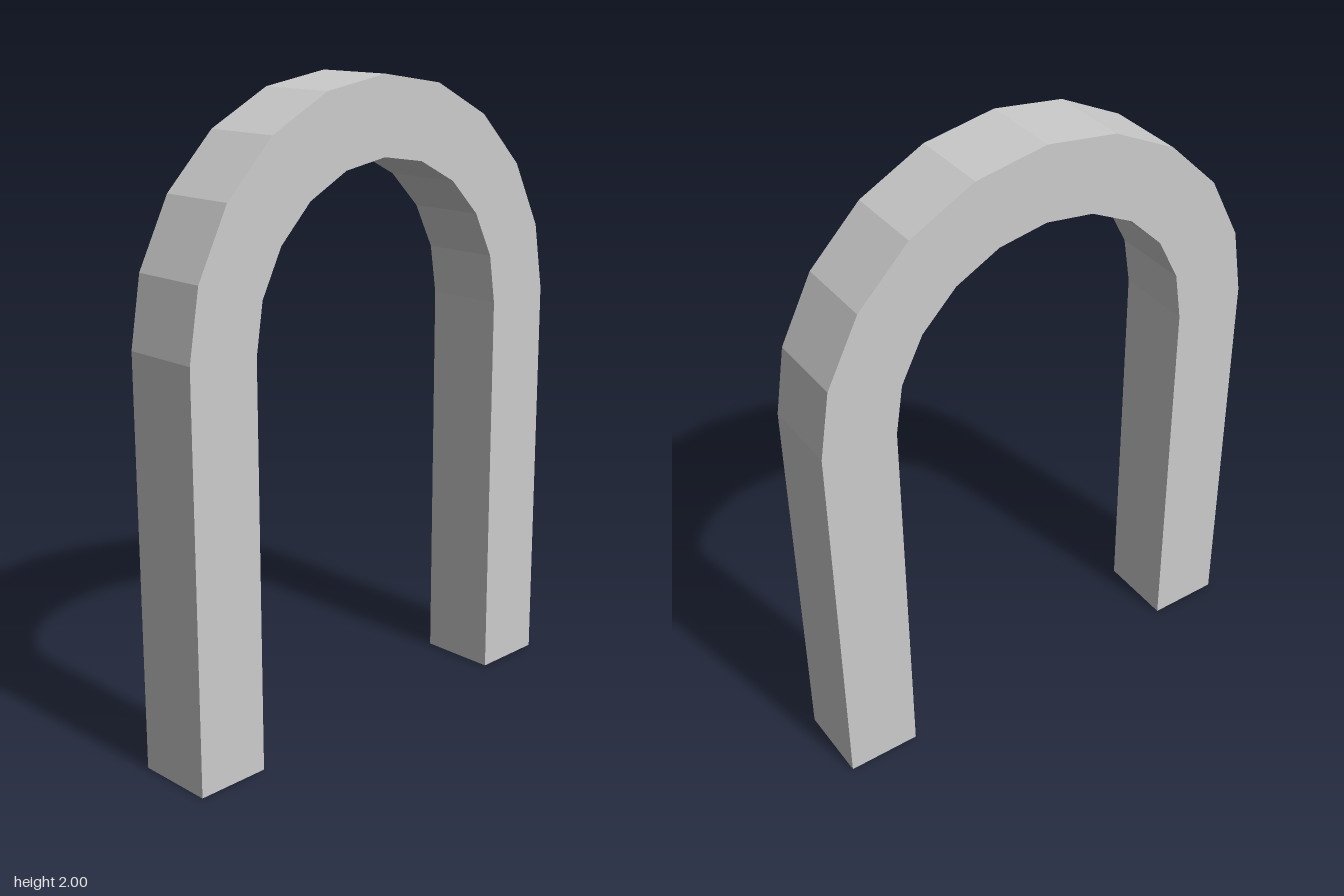
import * as THREE from 'three';

const SPRING = 1.26; // height where the legs turn into the arch
const OUTER = 0.74, INNER = 0.504;
const DEPTH = 0.252, SEGMENTS = 10;

// Points of a faceted half circle, from right (+x) over the top to left (-x)
function arc(radius, endLift = 0) {
  const points = [];
  for (let i = 0; i <= SEGMENTS; i++) {
    const a = (Math.PI * i) / SEGMENTS;
    const lift = i === 0 || i === SEGMENTS ? endLift : 0;
    points.push(new THREE.Vector2(radius * Math.cos(a), SPRING + radius * Math.sin(a) + lift));
  }
  return points;
}

export function createModel() {
  const group = new THREE.Group();
  group.name = 'archway';

  // Outline: up the outside, over the arch, down, then back along the inside
  const outline = new THREE.Shape([
    new THREE.Vector2(OUTER, 0),
    ...arc(OUTER, 0.015),
    new THREE.Vector2(-OUTER, 0),
    new THREE.Vector2(-INNER, 0),
    ...arc(INNER).reverse(),
    new THREE.Vector2(INNER, 0),
  ]);

  // Square-section bar extruded through the depth, with flat facets
  const geometry = new THREE.ExtrudeGeometry(outline, { depth: DEPTH, bevelEnabled: false });
  geometry.translate(0, 0, -DEPTH / 2);
  const arch = new THREE.Mesh(
    geometry,
    new THREE.MeshStandardMaterial({ color: 0xcccccc, flatShading: true })
  );
  arch.name = 'arch';
  group.add(arch);
  return group;
}
